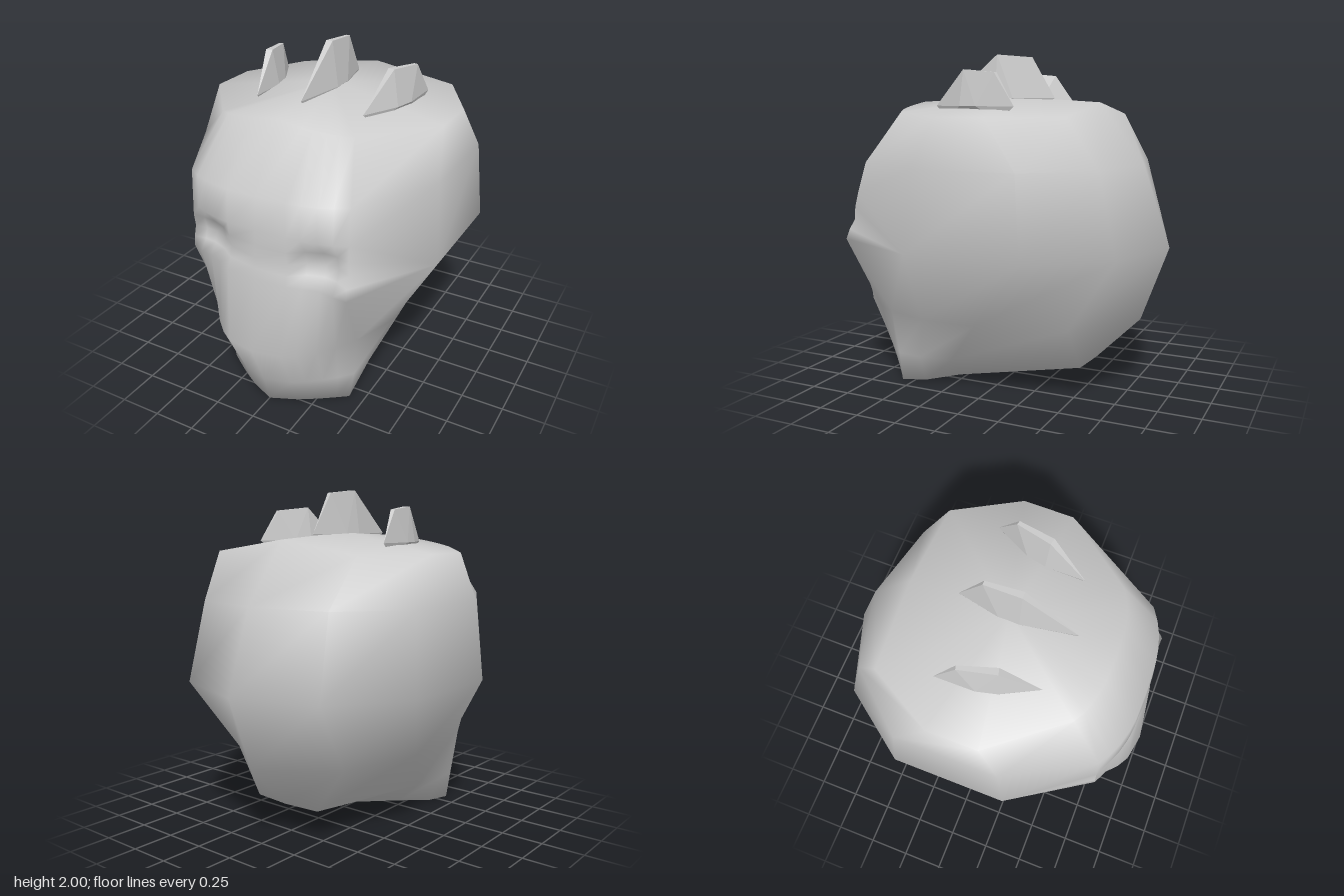
import * as THREE from 'three';
import { ConvexGeometry } from 'three/addons/geometries/ConvexGeometry.js';

// Rings from chin to crown: height, back z, three side points [x, z] from back to front,
// face corner [x, z], face centre z, face squareness, unevenness of the two cheeks
const RINGS = [
  [0.00, -0.13, [0.08, 0.02], [0.25, 0.26], [0.36, 0.44], [0.41, 0.58], 0.82, 1.3, 0],
  [0.18, -0.55, [0.23, -0.53], [0.42, 0.22], [0.46, 0.42], [0.44, 0.58], 0.87, 1.8, 0],
  [0.45, -0.82, [0.41, -0.52], [0.55, 0.00], [0.56, 0.34], [0.47, 0.61], 0.98, 2.4, 0],
  [0.89, -0.98, [0.50, -0.82], [0.81, -0.40], [0.81, 0.30], [0.52, 0.83], 0.91, 3, 1],
  [1.36, -0.82, [0.47, -0.71], [0.775, -0.36], [0.775, 0.26], [0.50, 0.75], 0.87, 3, 0],
  [1.715, -0.55, [0.52, -0.54], [0.735, -0.16], [0.735, 0.14], [0.41, 0.55], 0.64, 3, 0],
];
const CHEEK = 3;
const EYE_STEPS = [0.13, 0.26, 0.42, 0.6];
const FACE_STEPS = [1, 0.85, 0.7, 0.52, 0.36, 0];
const SIDE_COLUMNS = 4;

// Depth of the oval eye socket
function socket(x, y, side) {
  const r = ((x - 0.345 - 0.02 * side) / 0.19) ** 2 + ((y - 1.01) / 0.155) ** 2;
  return 0.1 * Math.max(0, 1 - r);
}

// Half cross-section, from the middle of the back round to the middle of the face
function halfRing([y, back, s1, s2, s3, corner, front, power, uneven], i, side) {
  const pts = [[0, y, back], ...[s1, s2, s3].map(([x, z]) => [x, y, z])];
  const cx = corner[0] + 0.02 * side * uneven;
  const cz = corner[1] + 0.05 * side * uneven;
  for (const t of FACE_STEPS) {
    pts.push([cx * t, y, cz + (front - cz) * (1 - t ** power) - socket(cx * t, y, side)]);
  }
  // the jaw underside rises toward the back
  if (i === 0) [0.05, 0.045, 0.025].forEach((lift, j) => { pts[j][1] += lift; });
  // the crown falls off toward the sides
  if (y === RINGS.at(-1)[0]) {
    for (const p of pts) p[1] -= 0.075 * Math.min(1, p[0] / 0.52);
  }
  return pts;
}

// Blend two rings, number by number
function blend(a, b, t) {
  return a.map((v, i) => (Array.isArray(v) ? blend(v, b[i], t) : v + (b[i] - v) * t));
}

function headGeometry() {
  // extra rows run across the eyes only
  const eyeRows = EYE_STEPS.map((t) => blend(RINGS[CHEEK], RINGS[CHEEK + 1], t));
  const rings = [...RINGS.slice(0, CHEEK + 1), ...eyeRows, ...RINGS.slice(CHEEK + 1)];
  const pos = [], index = [];
  let n = 0;
  rings.forEach((ring, i) => {
    const left = halfRing(ring, i, 1);
    const right = halfRing(ring, i, -1).slice(1, -1).reverse();
    const loop = [...left, ...right.map(([x, y, z]) => [-x, y, z])];
    n = loop.length;
    pos.push(...loop.flat());
  });

  // away from the face the eye rows fold into the cheek ring
  const id = (i, j) => {
    const onSide = j < SIDE_COLUMNS || j > n - SIDE_COLUMNS;
    const eyeRow = i > CHEEK && i <= CHEEK + EYE_STEPS.length;
    return (onSide && eyeRow ? CHEEK : i) * n + j;
  };
  const triangle = (a, b, c) => {
    if (a !== b && b !== c && c !== a) index.push(a, b, c);
  };
  const top = rings.length - 1, jaw = rings.length * n, crown = jaw + 1;
  pos.push(0, 0.01, 0.4, 0, 1.75, 0.03);
  for (let j = 0; j < n; j++) {
    const k = (j + 1) % n;
    for (let i = 0; i < top; i++) {
      triangle(id(i, j), id(i + 1, j), id(i, k));
      triangle(id(i, k), id(i + 1, j), id(i + 1, k));
    }
    triangle(jaw, id(0, j), id(0, k));
    triangle(crown, id(top, k), id(top, j));
  }
  const g = new THREE.BufferGeometry();
  g.setAttribute('position', new THREE.Float32BufferAttribute(pos, 3));
  g.setIndex(index);
  g.computeVertexNormals();
  return g;
}

// Faceted fin with a pointed front and back and a narrow ridge
function finGeometry(front, back, height) {
  const points = [
    [0, 0, front], [0, 0, back], [0.055, 0, 0.1], [-0.055, 0, 0.1],
    [0.055, 0, -0.02], [-0.055, 0, -0.02],
    [0.02, height, 0.1], [-0.02, height, 0.1],
    [0.012, height - 0.02, -0.12], [-0.012, height - 0.02, -0.12],
    [0, -0.08, front - 0.1], [0, -0.08, back + 0.1],
  ];
  return new ConvexGeometry(points.map((p) => new THREE.Vector3(...p)));
}

export function createModel() {
  const group = new THREE.Group();
  const grey = new THREE.MeshStandardMaterial({ color: 0xcccccc });
  grey.name = 'plain grey';

  const add = (name, geometry) => {
    const mesh = new THREE.Mesh(geometry, grey);
    mesh.name = name;
    group.add(mesh);
    return mesh;
  };

  add('head', headGeometry());
  add('middleFin', finGeometry(0.42, -0.27, 0.26)).position.set(0.015, 1.74, 0);
  for (const side of [1, -1]) {
    const fin = add(side > 0 ? 'leftFin' : 'rightFin', finGeometry(0.33, -0.25, 0.205));
    fin.position.set(side > 0 ? 0.43 : -0.4, 1.695, 0.02);
    fin.rotation.y = -side * 0.24;
  }
  return group;
}
